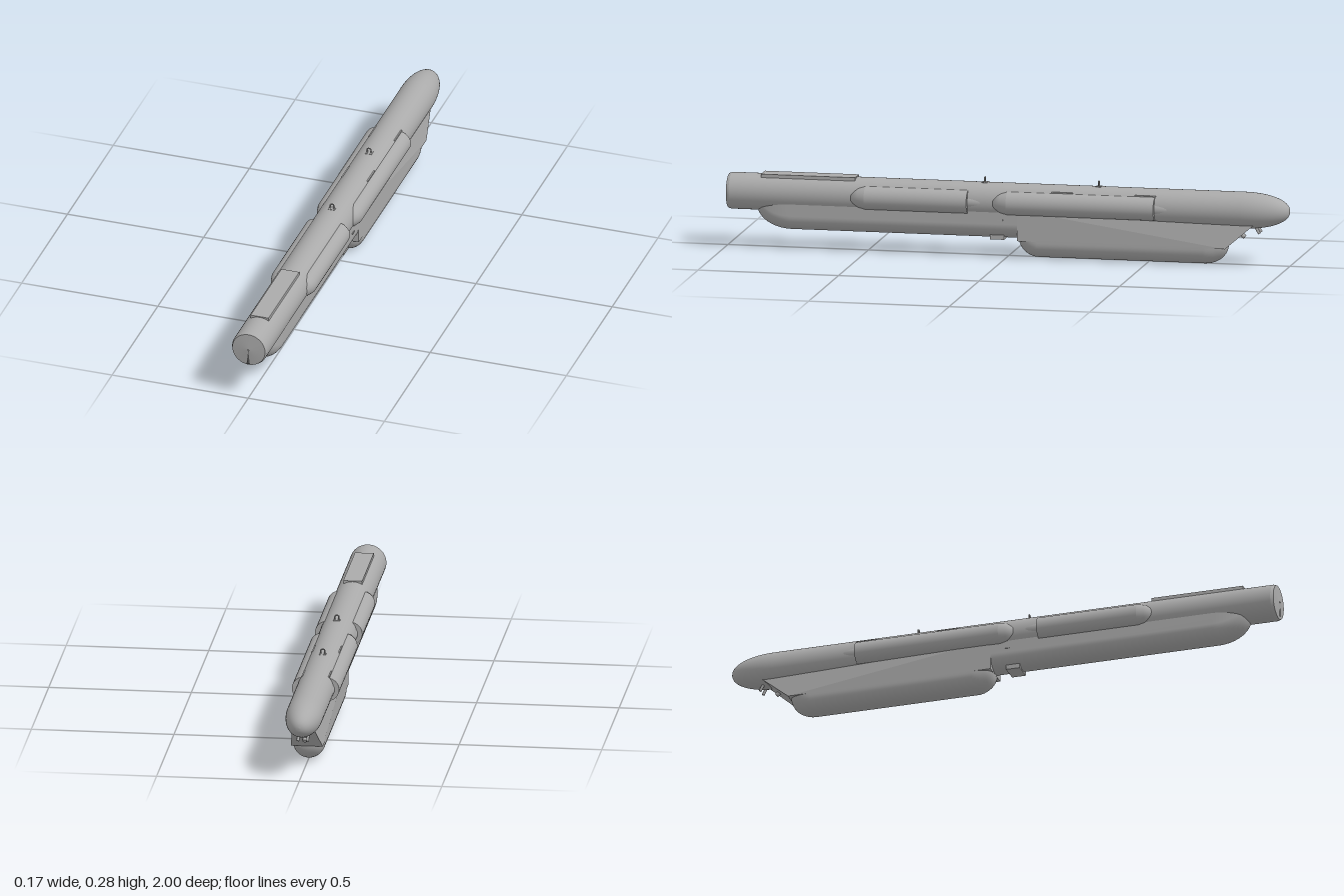
import * as THREE from 'three';

const grey = new THREE.MeshStandardMaterial({ color: 0xaaaaaa, side: THREE.DoubleSide });
grey.name = 'body grey';
const dark = new THREE.MeshStandardMaterial({ color: 0x555555 });
dark.name = 'slot grey';

const TUBE_Y = 0.196, TUBE_R = 0.064;

function add(group, name, geometry, x = 0, y = 0, z = 0, material = grey) {
  const mesh = new THREE.Mesh(geometry, material);
  mesh.name = name;
  mesh.position.set(x, y, z);
  group.add(mesh);
  return mesh;
}

// Solid of revolution about z; points are [radius, z], repeated points make sharp edges
function turned(points, segments = 48) {
  return new THREE.LatheGeometry(points.map(p => new THREE.Vector2(...p)), segments).rotateX(Math.PI / 2);
}

// U-shaped hull: stations are [z, halfWidth, bottom], open at the top inside the tube
function hull(stations, top, depth) {
  const n = 24, row = n + 3, pos = [], index = [];
  for (const [z, w, bottom] of stations) {
    const r = Math.min(depth, top - bottom);
    pos.push(w, top, z);
    for (let i = 0; i <= n; i++) {
      const a = Math.PI * i / n;
      pos.push(w * Math.cos(a), bottom + r - r * Math.sin(a), z);
    }
    pos.push(-w, top, z);
  }
  for (let s = 0; s < stations.length - 1; s++) {
    for (let i = 0; i < row - 1; i++) {
      const a = s * row + i, b = a + row;
      index.push(a, a + 1, b, a + 1, b + 1, b);
    }
  }
  const g = new THREE.BufferGeometry();
  g.setAttribute('position', new THREE.Float32BufferAttribute(pos, 3));
  g.setIndex(index);
  g.computeVertexNormals();
  return g;
}

// Rounded end stations, from the tip (k = 0) to the full section
function roundedEnd(zFull, length, width, tipY, bottom) {
  const out = [];
  for (let k = 0; k <= 10; k++) {
    const a = (Math.PI / 2) * (1 - k / 10), c = Math.cos(a);
    out.push([zFull + length * Math.sin(a), width * Math.sqrt(Math.max(c, 0)), tipY + (bottom - tipY) * c]);
  }
  return out;
}

export function createModel() {
  const model = new THREE.Group();
  model.name = 'equipmentPod';

  // Main tube with pointed tail and softly edged front
  const profile = [];
  for (let i = 0; i <= 14; i++) {
    const t = i / 14;
    profile.push([TUBE_R * Math.pow(Math.sin(t * Math.PI / 2), 0.9), -0.84 - 0.16 * Math.cos(t * Math.PI / 2)]);
  }
  profile.push([TUBE_R, -0.84], [TUBE_R, 0.985], [TUBE_R, 0.985], [0.06, 0.995], [0.06, 0.995], [0, 1]);
  add(model, 'mainTube', turned(profile, 64), 0, TUBE_Y, 0);

  // Slot and pin on the front face
  const slot = new THREE.Shape([[0, 0], [-0.006, -0.055], [0.006, -0.055]].map(p => new THREE.Vector2(...p)));
  add(model, 'frontSlot', new THREE.ShapeGeometry(slot), 0, TUBE_Y, 1.0005, dark);
  add(model, 'frontPin', new THREE.SphereGeometry(0.003, 10, 8), 0, TUBE_Y, 0.999);

  // Belly duct
  add(model, 'bellyDuct', hull([
    ...roundedEnd(0.77, 0.125, 0.055, 0.152, 0.068),
    [-0.06, 0.055, 0.068],
  ], 0.178, 0.054));

  // Rear block with sloped tail, narrowing towards the back
  const side = new THREE.Shape([[0.04, 0.175], [0.04, 0.065], [0.78, 0.065], [0.885, 0.155], [0.885, 0.175]]
    .map(p => new THREE.Vector2(...p)));
  const block = new THREE.ExtrudeGeometry(side, { depth: 0.112, bevelEnabled: false });
  block.translate(0, 0, -0.056).rotateY(Math.PI / 2);
  const p = block.attributes.position;
  for (let i = 0; i < p.count; i++) if (p.getZ(i) < -0.85) p.setX(i, p.getX(i) * 0.7);
  block.computeVertexNormals();
  add(model, 'rearBlock', block);

  // Lower pod under the rear block
  const nose = roundedEnd(-0.11, 0.07, 0.056, 0.066, 0.003);
  const tail = roundedEnd(0.7, 0.08, 0.056, 0.066, 0.003).map(([z, w, b]) => [-z, w, b]).reverse();
  add(model, 'lowerPod', hull([...nose, ...tail], 0.07, 0.056));

  // Side fairings, two on each flank
  for (const s of [-1, 1]) {
    for (const [front, back] of [[0.55, 0.135], [0.045, -0.53]]) {
      const g = turned([
        [0, back - 0.07], [0.022, back - 0.06], [0.026, back], [0.026, back], [0.042, back], [0.042, back],
        [0.042, front - 0.05], [0.042, front - 0.05], [0.036, front - 0.025], [0.024, front], [0, front + 0.01],
      ], 40);
      add(model, s > 0 ? 'leftFairing' : 'rightFairing', g, s * 0.041, TUBE_Y, 0);
    }
    // Thin strips along the tube shoulders
    for (const z of [-0.2, -0.495]) {
      add(model, 'shoulderStrip', new THREE.BoxGeometry(0.006, 0.004, 0.075), s * 0.046, 0.24, z);
    }
    // Small side studs and tail prongs
    add(model, 'sideStud', new THREE.BoxGeometry(0.004, 0.005, 0.02), s * 0.056, 0.137, 0.02);
    const prong = add(model, 'tailProng', new THREE.CylinderGeometry(0.005, 0.005, 0.04, 12), s * 0.017, 0.135, -0.885);
    prong.rotation.x = 0.5;
  }

  // Port on the sloped tail
  const port = add(model, 'tailPort', new THREE.CylinderGeometry(0.008, 0.008, 0.02, 16), 0, 0.107, -0.832);
  port.rotation.x = 0.86;

  // Bracket under the duct
  add(model, 'ductBracket', new THREE.BoxGeometry(0.07, 0.026, 0.05), 0, 0.077, 0.035);

  // Top plate
  add(model, 'topPlate', new THREE.BoxGeometry(0.066, 0.014, 0.335), 0, 0.256, 0.708);

  // Hanging lugs
  const loop = new THREE.CurvePath();
  const pts = [[-0.007, 0], [-0.007, 0.017], [-0.004, 0.021], [0.004, 0.021], [0.007, 0.017], [0.007, 0]]
    .map(([x, y]) => new THREE.Vector3(x, y, 0));
  for (let i = 0; i < pts.length - 1; i++) loop.add(new THREE.LineCurve3(pts[i], pts[i + 1]));
  for (const z of [0.085, -0.32]) {
    add(model, 'hangingLug', new THREE.TubeGeometry(loop, 30, 0.0025, 8), 0, 0.256, z);
    add(model, 'lugBase', new THREE.BoxGeometry(0.024, 0.006, 0.02), 0, 0.258, z);
  }
  return model;
}
